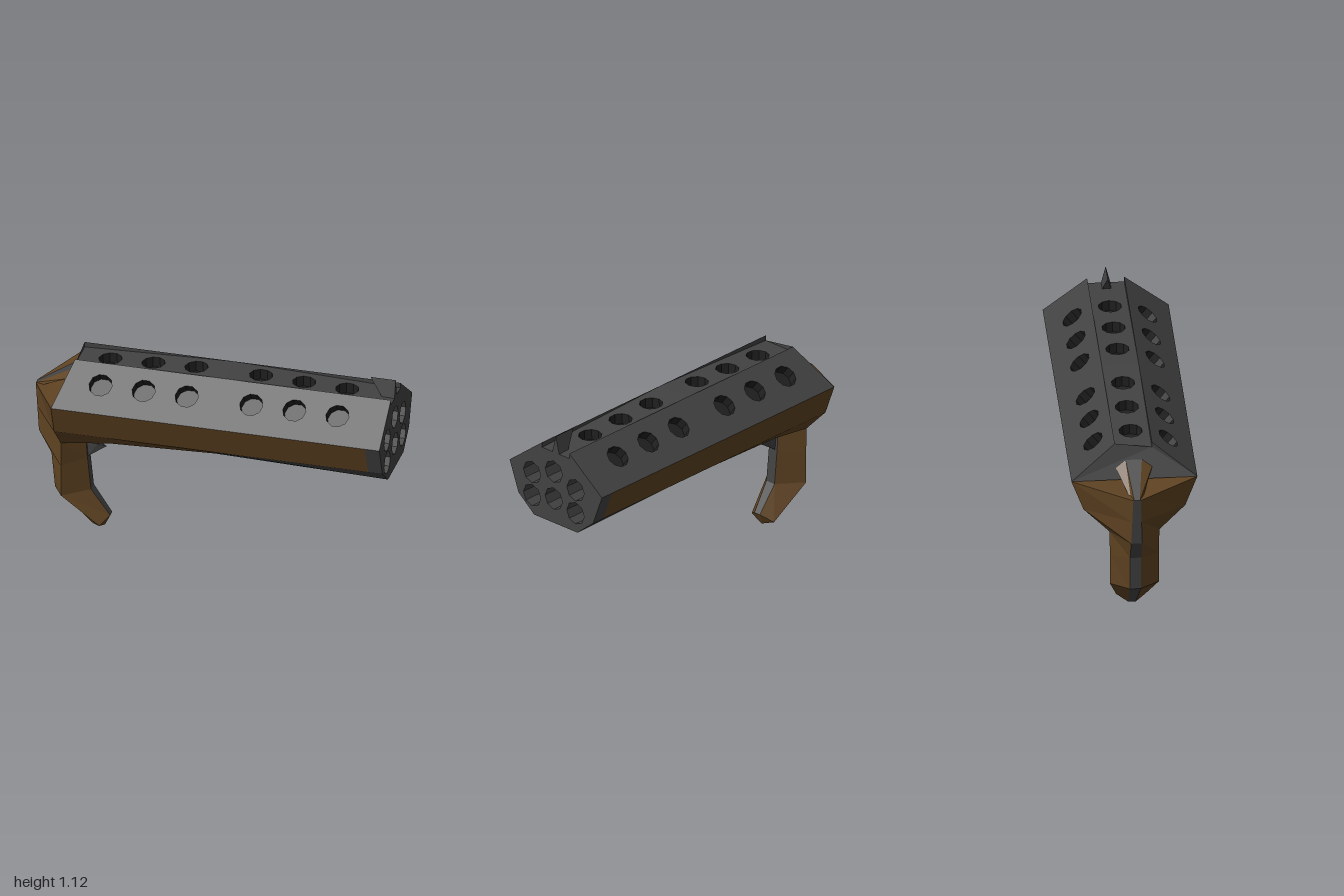
import * as THREE from 'three';
import { ConvexGeometry } from 'three/addons/geometries/ConvexGeometry.js';

const V = (p) => new THREE.Vector3(...p);

export function createModel() {
  const model = new THREE.Group();
  const material = (name, color) => {
    const m = new THREE.MeshStandardMaterial({ color, side: THREE.DoubleSide });
    m.name = name;
    return m;
  };
  const metal = material('gunmetal', 0x424242);
  const wood = material('brown wood', 0x5f4322);
  const dark = material('vent interior', 0x202020);

  const add = (name, geometry, mat, parent = model) => {
    const mesh = new THREE.Mesh(geometry, mat);
    mesh.name = name;
    parent.add(mesh);
    return mesh;
  };

  // Flat faceted surface from a list of polygons
  const faces = (name, mat, polygons) => {
    const pos = [];
    for (const p of polygons)
      for (let i = 1; i < p.length - 1; i++) pos.push(...p[0], ...p[i], ...p[i + 1]);
    const g = new THREE.BufferGeometry();
    g.setAttribute('position', new THREE.Float32BufferAttribute(pos, 3));
    g.computeVertexNormals();
    return add(name, g, mat);
  };
  const mirrored = (polys) => [
    ...polys,
    ...polys.map((p) => p.map(([x, y, z]) => [x, y, -z]).reverse()),
  ];

  // Flat plate with round holes, each lined by a closed tube
  const panel = (name, outline, holes, r, depth, sides, holeMat) => {
    const group = new THREE.Group();
    group.name = name;
    const o = V(outline[0]);
    const u = V(outline[1]).sub(o).normalize();
    const n = u.clone().cross(V(outline[outline.length - 1]).sub(o)).normalize();
    const v = n.clone().cross(u);
    const flat = (p) => {
      const d = V(p).sub(o);
      return new THREE.Vector2(d.dot(u), d.dot(v));
    };
    const shape = new THREE.Shape(outline.map(flat));
    const lining = new THREE.LatheGeometry(
      [[0, -depth], [r, -depth], [r, 0]].map((p) => new THREE.Vector2(...p)), sides).toNonIndexed();
    lining.computeVertexNormals();
    for (const h of holes) {
      const c = flat(h);
      const ring = [];
      for (let i = 0; i < sides; i++) {
        const a = (i / sides) * Math.PI * 2;
        ring.push(new THREE.Vector2(c.x + r * Math.cos(a), c.y + r * Math.sin(a)));
      }
      shape.holes.push(new THREE.Path(ring));
      const g = lining.clone().applyMatrix4(new THREE.Matrix4().makeBasis(v, n, u));
      const at = o.clone().addScaledVector(u, c.x).addScaledVector(v, c.y);
      g.translate(at.x, at.y, at.z);
      add('holeLining', g, holeMat, group);
    }
    const plate = new THREE.ShapeGeometry(shape);
    plate.applyMatrix4(new THREE.Matrix4().makeBasis(u, v, n).setPosition(o));
    add('plate', plate, metal, group);
    model.add(group);
  };

  // Upper housing: dipped top strip and two sloping sides with vents
  const rearVents = [-0.59, -0.35, -0.11], frontVents = [0.25, 0.49, 0.73];
  const strip = (name, xa, ya, xb, yb, vents) => panel(name,
    [[xa, ya, 0.1], [xb, yb, 0.1], [xb, yb, -0.1], [xa, ya, -0.1]],
    vents.map((x) => [x, 1.04, 0]), 0.064, 0.06, 10, dark);
  strip('topRear', -0.76, 1.02, 0.07, 1.05, rearVents);
  strip('topFront', 0.07, 1.05, 1, 1.02, frontVents);
  const slope = [[-0.83, 0.865, 0.34], [1, 0.865, 0.34], [1, 1.05, 0.1], [-0.76, 1.05, 0.1]];
  for (const s of [1, -1]) {
    const pts = slope.map(([x, y, z]) => [x, y, z * s]);
    const outline = s > 0 ? pts : [pts[1], pts[0], pts[3], pts[2]];
    panel('slopingSide', outline,
      [...rearVents, ...frontVents].map((x) => [x, 0.97, 0.204 * s]), 0.064, 0.06, 10, dark);
  }
  faces('topRidgeWalls', metal, mirrored([
    [[-0.76, 1.05, 0.1], [-0.76, 1.02, 0.1], [0.07, 1.05, 0.1]],
    [[0.07, 1.05, 0.1], [1, 1.02, 0.1], [1, 1.05, 0.1]],
  ]));
  faces('housingRear', metal, [[
    [-0.76, 1.02, 0.1], [-0.76, 1.05, 0.1], [-0.83, 0.865, 0.34],
    [-0.83, 0.865, -0.34], [-0.76, 1.05, -0.1], [-0.76, 1.02, -0.1],
  ]]);

  // Muzzle face with six bores
  const half = [[0.595, 0.16], [0.69, 0.275], [0.865, 0.34], [1.05, 0.1], [1.02, 0.1]];
  panel('muzzle', [
    [1, 0.595, 0.16],
    ...half.map(([y, z]) => [1, y, -z]),
    ...half.slice(1).reverse().map(([y, z]) => [1, y, z]),
  ], [
    [1, 0.902, 0.015], [1, 0.74, 0.015], [1, 0.845, 0.175], [1, 0.845, -0.145],
    [1, 0.707, 0.175], [1, 0.707, -0.145],
  ], 0.064, 0.6, 8, metal);

  // Lower body: sections along the length, [x, bottom height, bottom half width]
  const stations = [[-0.83, 0.545, 0.135], [-0.55, 0.595, 0.16], [0.05, 0.64, 0.2], [0.92, 0.6, 0.165], [1, 0.595, 0.16]];
  const section = ([x, y, w]) => [[x, 0.865, 0.34], [x, 0.69, 0.275], [x, y, w], [x, y, 0.06], [x, y, 0]];
  const woodFaces = [], metalFaces = [];
  for (let i = 0; i < stations.length - 1; i++) {
    const a = section(stations[i]), b = section(stations[i + 1]);
    for (let k = 0; k < 4; k++) {
      const isMetal = i === 3 || k === 3 || (k === 1 && i === 2);
      (isMetal ? metalFaces : woodFaces).push([a[k], a[k + 1], b[k + 1], b[k]]);
    }
  }
  faces('woodenForestock', wood, mirrored(woodFaces));
  faces('metalUnderside', metal, mirrored(metalFaces));

  // Rear stock and grip: rings of back, widest and front points
  const levels = [
    [[-1, 0.83, 0.02], [-0.83, 0.865, 0.34], [-0.74, 0.865, 0.1]],
    [[-0.99, 0.69, 0.025], [-0.83, 0.69, 0.275], [-0.74, 0.69, 0.1]],
    [[-0.98, 0.55, 0.03], [-0.83, 0.545, 0.135], [-0.72, 0.56, 0.03]],
    [[-0.91, 0.42, 0.03], [-0.83, 0.4, 0.132], [-0.71, 0.42, 0.03]],
    [[-0.89, 0.215, 0.03], [-0.83, 0.22, 0.132], [-0.69, 0.225, 0.03]],
    [[-0.68, 0.012, 0.02], [-0.63, 0.035, 0.082], [-0.585, 0.075, 0.02]],
  ];
  const flip = ([x, y, z]) => [x, y, -z];
  const gripSides = [], straps = [];
  for (let i = 0; i < levels.length - 1; i++) {
    const [b0, m0, f0] = levels[i], [b1, m1, f1] = levels[i + 1];
    gripSides.push([b0, b1, m1, m0], [m0, m1, f1, f0]);
    straps.push([b0, flip(b0), flip(b1), b1], [f0, f1, flip(f1), flip(f0)]);
  }
  const [tb, tm, tf] = levels[5], tip = [-0.62, 0.003, 0];
  gripSides.push([tb, tip, tm], [tm, tip, tf]);
  faces('gripAndStock', wood, mirrored(gripSides));
  faces('gripStraps', metal, straps);
  faces('gripTip', wood, [[tb, flip(tb), tip], [tf, tip, flip(tf)]]);
  const [cb, cm, cf] = levels[0];
  faces('stockTop', wood, [[cb, cm, cf, flip(cf), flip(cm), flip(cb)]]);

  // Slanted rear spine bridging stock and housing
  const s0 = [-1, 0.83, 0.015], s1 = [-0.78, 0.965, 0.045];
  const s2 = [-0.98, 0.82, 0.03], s3 = [-0.8, 0.925, 0.1];
  faces('rearSpine', metal, [[s0, s1, flip(s1), flip(s0)]]);
  faces('rearSpineSides', wood, [
    ...mirrored([[s0, s2, s3, s1]]),
    [s2, flip(s2), flip(s3), s3],
  ]);

  // Front sight and trigger
  const wedge = (name, pts) => add(name, new ConvexGeometry(pts.map(V)), metal);
  wedge('frontSight', [
    [0.86, 1.12, 0], [1, 1.12, 0], [1, 1.02, 0.025], [1, 1.02, -0.025],
    [0.93, 1.02, 0.025], [0.93, 1.02, -0.025],
  ]);
  wedge('trigger', [
    [-0.73, 0.55, 0.018], [-0.73, 0.55, -0.018], [-0.61, 0.485, 0],
    [-0.66, 0.5, 0.015], [-0.66, 0.5, -0.015], [-0.71, 0.42, 0.015], [-0.71, 0.42, -0.015],
  ]);
  return model;
}
